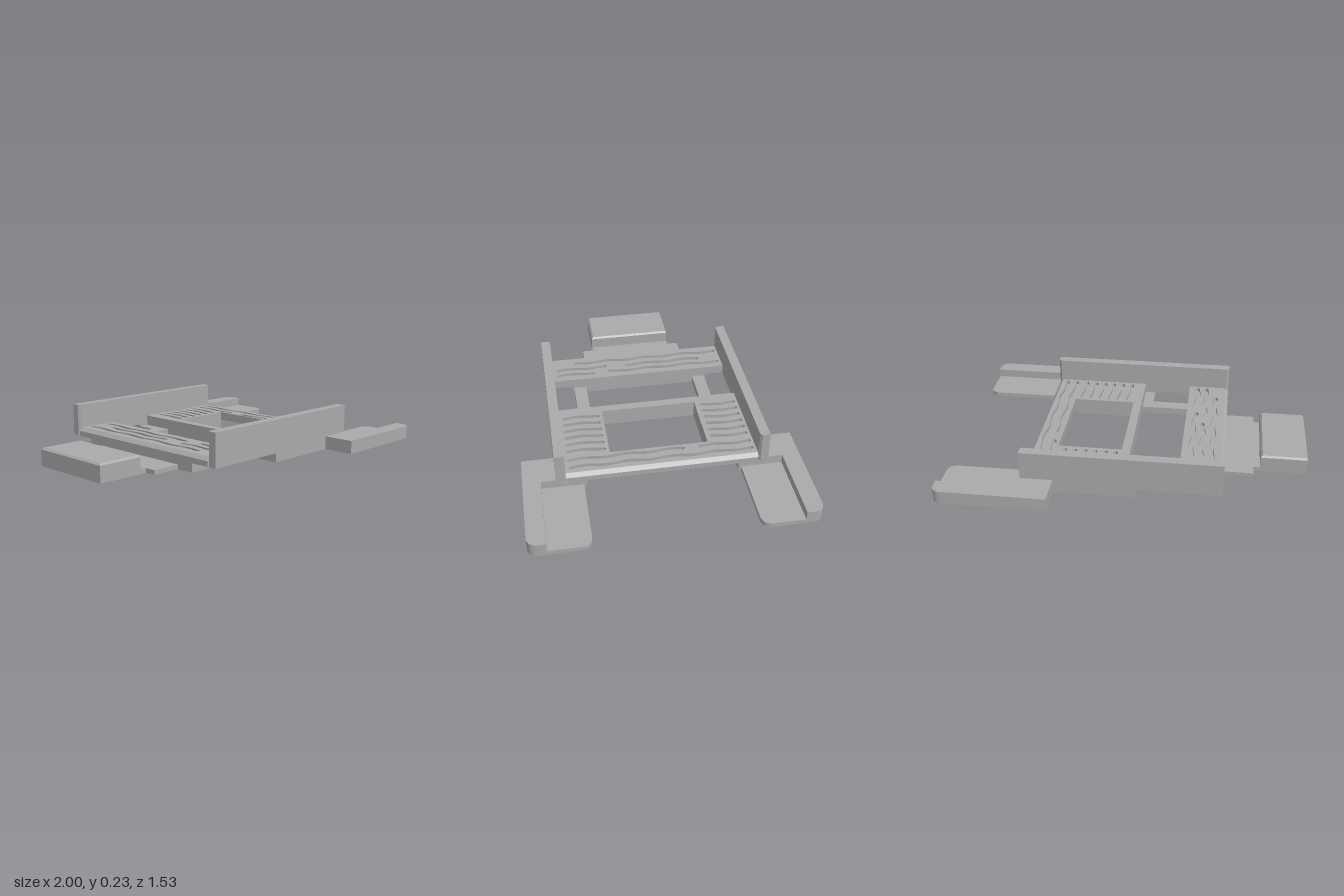
import * as THREE from 'three';

const grey = new THREE.MeshStandardMaterial({ color: 0xaaaaaa });
grey.name = 'plain grey';

export function createModel() {
  const model = new THREE.Group();
  model.name = 'bracketFrame';

  const add = (name, geometry) => {
    const mesh = new THREE.Mesh(geometry, grey);
    mesh.name = name;
    model.add(mesh);
    return mesh;
  };

  // box given by its limits on each axis
  const box = (name, x0, x1, y0, y1, z0, z1) =>
    add(name, new THREE.BoxGeometry(x1 - x0, y1 - y0, z1 - z0)
      .translate((x0 + x1) / 2, (y0 + y1) / 2, (z0 + z1) / 2));

  // plan outline in (x, -z), raised from y0 to y1
  const slab = (name, shape, y0, y1) =>
    add(name, new THREE.ExtrudeGeometry(shape, { depth: y1 - y0, bevelEnabled: false, curveSegments: 8 })
      .rotateX(-Math.PI / 2).translate(0, y0, 0));

  const rect = (x0, x1, z0, z1) => new THREE.Shape([
    new THREE.Vector2(x0, -z1), new THREE.Vector2(x1, -z1),
    new THREE.Vector2(x1, -z0), new THREE.Vector2(x0, -z0)]);

  // wavy round-ended slot running along z
  const groove = (x, z0, z1) => {
    const r = 0.012, n = Math.ceil((z1 - z0) / 0.03), left = [], right = [];
    for (let i = 0; i <= n; i++) {
      const z = z0 + r + (z1 - z0 - 2 * r) * i / n;
      const c = x + 0.006 * Math.sin(z * 26);
      left.push(new THREE.Vector2(c - r, -z));
      right.unshift(new THREE.Vector2(c + r, -z));
    }
    const cap = (z, a, b) => new THREE.Vector2((a.x + b.x) / 2, -z);
    return new THREE.Path([...left, cap(z1, left[n], right[0]), ...right, cap(z0, left[0], right[n])]);
  };

  // grooved top surfaces
  const leftDeck = rect(-0.52, -0.295, -0.53, 0.53);
  [[-0.465, -0.52, 0.4], [-0.405, -0.4, 0.08], [-0.405, 0.19, 0.515],
    [-0.35, -0.52, 0.2], [-0.35, 0.27, 0.515]].forEach(g => leftDeck.holes.push(groove(...g)));
  slab('leftGroovedDeck', leftDeck, 0.08, 0.1);

  const rightDeck = rect(-0.01, 0.535, -0.53, 0.53);
  rightDeck.holes.push(rect(0.04, 0.405, -0.275, 0.275));
  [[0.435, -0.52, -0.21], [0.435, -0.14, 0.515], [0.495, -0.52, 0.515]]
    .forEach(g => rightDeck.holes.push(groove(...g)));
  for (let i = 0; i < 6; i++) {
    const x = 0.075 + i * 0.058;
    rightDeck.holes.push(groove(x, -0.52, -0.295), groove(x, 0.29, 0.515));
  }
  slab('rightGroovedDeck', rightDeck, 0.08, 0.1);

  // bodies beneath the decks
  box('leftDeckBody', -0.54, -0.295, 0.05, 0.08, -0.53, 0.53);
  box('leftDeckBase', -0.54, -0.295, 0, 0.05, -0.42, 0.42);
  const frame = rect(-0.01, 0.555, -0.53, 0.53);
  frame.holes.push(rect(0.04, 0.405, -0.275, 0.275));
  slab('frameBody', frame, 0.05, 0.08);
  box('frameCrossbar', -0.01, 0.04, 0, 0.05, -0.275, 0.275);

  // sloped outer edges of the two decks
  for (const [name, outer, inner] of [['leftDeckBevel', -0.54, -0.52], ['rightDeckBevel', 0.555, 0.535]]) {
    const tri = new THREE.Shape([new THREE.Vector2(outer, 0.08),
      new THREE.Vector2(inner, 0.1), new THREE.Vector2(inner, 0.08)]);
    add(name, new THREE.ExtrudeGeometry(tri, { depth: 1.06, bevelEnabled: false }).translate(0, 0, -0.53));
  }

  // mirrored side parts
  for (const s of [1, -1]) {
    const side = s > 0 ? 'front' : 'back';
    const sideBox = (name, x0, x1, y0, y1, a, b) =>
      box(side + name, x0, x1, y0, y1, Math.min(a * s, b * s), Math.max(a * s, b * s));
    const outline = pts => new THREE.Shape(pts.map(([x, z]) => new THREE.Vector2(x, -z * s)));

    // upright wall with clipped inner ends
    slab(side + 'Wall', outline([[-0.54, 0.585], [0.555, 0.585], [0.555, 0.542],
      [0.543, 0.53], [-0.528, 0.53], [-0.54, 0.542]]), 0.05, 0.235);
    sideBox('WallFoot', -0.07, 0.555, 0, 0.05, 0.53, 0.585);
    sideBox('FrameBase', -0.01, 0.405, 0, 0.05, 0.275, 0.53);
    sideBox('FrameCornerBase', 0.405, 0.555, 0, 0.05, 0.42, 0.53);
    sideBox('FrameLedge', -0.07, -0.01, 0, 0.04, 0.335, 0.53);
    sideBox('LinkArm', -0.295, -0.07, 0, 0.04, 0.335, 0.41);

    // rounded foot tab: thin plate with a raised outer rim
    const r = 0.06;
    const plate = new THREE.Shape();
    plate.moveTo(0.555, -0.435 * s);
    plate.lineTo(1 - r, -0.435 * s);
    plate.quadraticCurveTo(1, -0.435 * s, 1, -(0.435 + r) * s);
    plate.lineTo(1, -(0.763 - r) * s);
    plate.quadraticCurveTo(1, -0.763 * s, 1 - r, -0.763 * s);
    plate.lineTo(0.555, -0.763 * s);
    slab(side + 'FootPlate', plate, 0, 0.025);
    const rim = new THREE.Shape();
    rim.moveTo(0.555, -0.665 * s);
    rim.lineTo(1, -0.665 * s);
    rim.lineTo(1, -(0.763 - r) * s);
    rim.quadraticCurveTo(1, -0.763 * s, 1 - r, -0.763 * s);
    rim.lineTo(0.555, -0.763 * s);
    slab(side + 'FootRim', rim, 0.025, 0.075);
    sideBox('FootBlock', 0.375, 0.555, 0, 0.075, 0.585, 0.763);
  }

  // stepped end tongue
  box('tongueRoot', -0.705, -0.54, 0, 0.025, -0.315, 0.315);
  box('tongueNeck', -0.74, -0.705, 0, 0.025, -0.25, 0.25);
  box('tongueBlock', -1, -0.74, 0, 0.09, -0.25, 0.25);
  const cap = new THREE.BoxGeometry(0.26, 0.01, 0.5);
  const p = cap.attributes.position;
  for (let i = 0; i < p.count; i++) {
    // draw in the upper edge to form a bevel
    if (p.getY(i) > 0) p.setXYZ(i, p.getX(i) * 0.92, p.getY(i), p.getZ(i) * 0.96);
  }
  const capGeometry = cap.toNonIndexed();
  capGeometry.computeVertexNormals();
  add('tongueBevel', capGeometry.translate(-0.87, 0.095, 0));

  return model;
}
